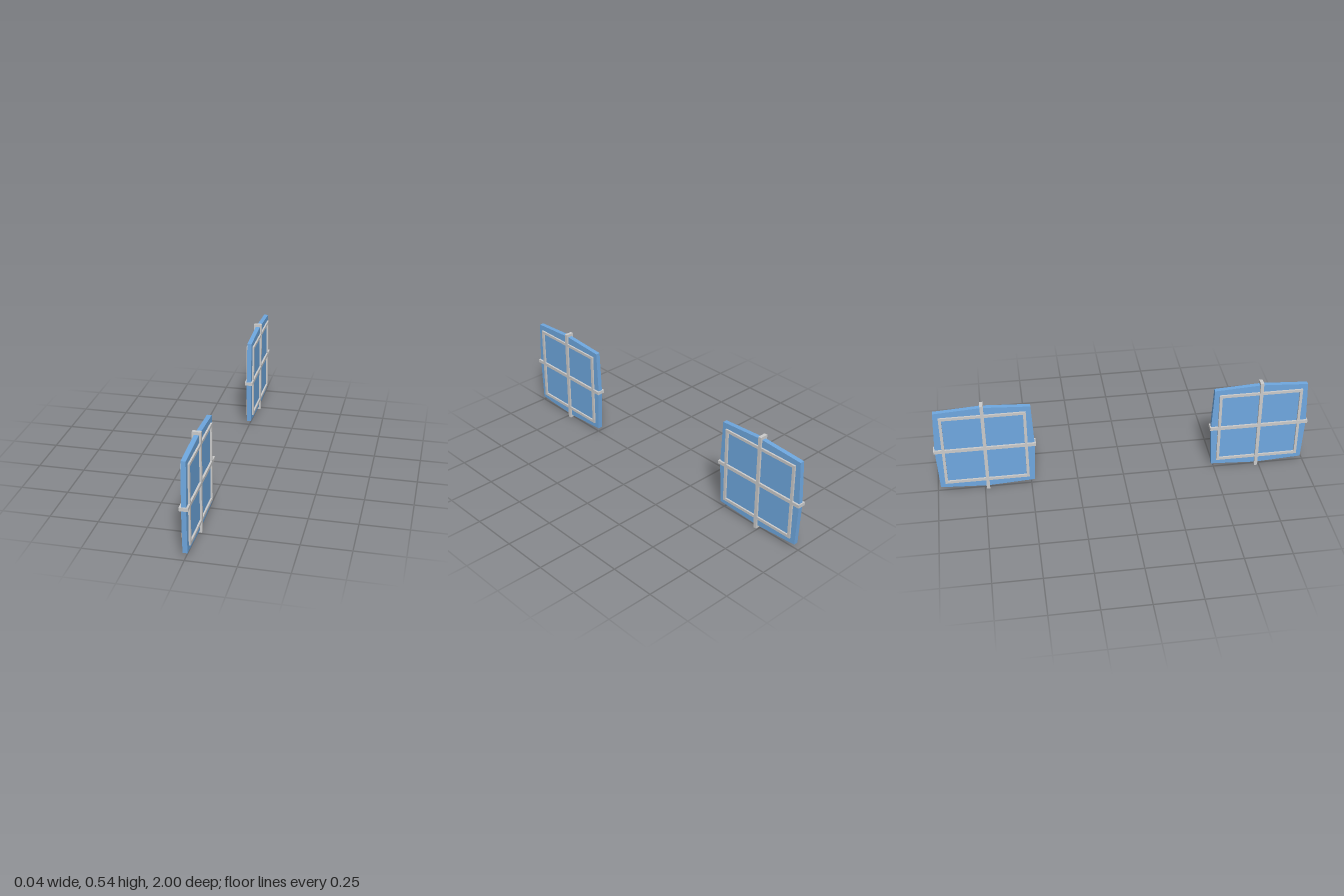
import * as THREE from 'three';

const grey = new THREE.MeshStandardMaterial({ color: 0xcccccc, flatShading: true });
const blue = new THREE.MeshStandardMaterial({ color: 0x6fa8e0, flatShading: true });

function addBox(parent, name, size, y = 0, z = 0) {
  const mesh = new THREE.Mesh(new THREE.BoxGeometry(...size), grey);
  mesh.name = name;
  mesh.position.set(0, y, z);
  parent.add(mesh);
}

// Eight-sided plate whose edges bulge slightly at their middles
function createPlate() {
  const outline = [
    [0.25, 0.238], [0, 0.253], [-0.25, 0.238], [-0.261, 0],
    [-0.25, -0.238], [0, -0.253], [0.25, -0.238], [0.261, 0],
  ].map(([x, y]) => new THREE.Vector2(x, y));
  const depth = 0.024;
  const geometry = new THREE.ExtrudeGeometry(new THREE.Shape(outline), { depth, bevelEnabled: false });
  geometry.translate(0, 0, -depth / 2).rotateY(Math.PI / 2);
  const plate = new THREE.Mesh(geometry, blue);
  plate.name = 'plate';
  return plate;
}

function createPanel() {
  const panel = new THREE.Group();
  panel.add(createPlate());

  // Crossing ribs that reach past the plate on every side
  addBox(panel, 'verticalRib', [0.044, 0.536, 0.018]);
  addBox(panel, 'horizontalRib', [0.044, 0.018, 0.534]);

  // Rectangular frame showing on both faces
  const halfY = 0.211, halfZ = 0.224, bar = 0.015, thick = 0.042;
  for (const side of [-1, 1]) {
    addBox(panel, 'frameRail', [thick, bar, 2 * halfZ], side * (halfY - bar / 2), 0);
    addBox(panel, 'frameStile', [thick, 2 * (halfY - bar), bar], 0, side * (halfZ - bar / 2));
  }
  return panel;
}

export function createModel() {
  const model = new THREE.Group();
  model.name = 'panelPair';
  for (const side of [1, -1]) {
    const panel = createPanel();
    panel.name = side > 0 ? 'frontPanel' : 'backPanel';
    panel.position.set(0, 0.268, side * 0.733);
    model.add(panel);
  }
  return model;
}
